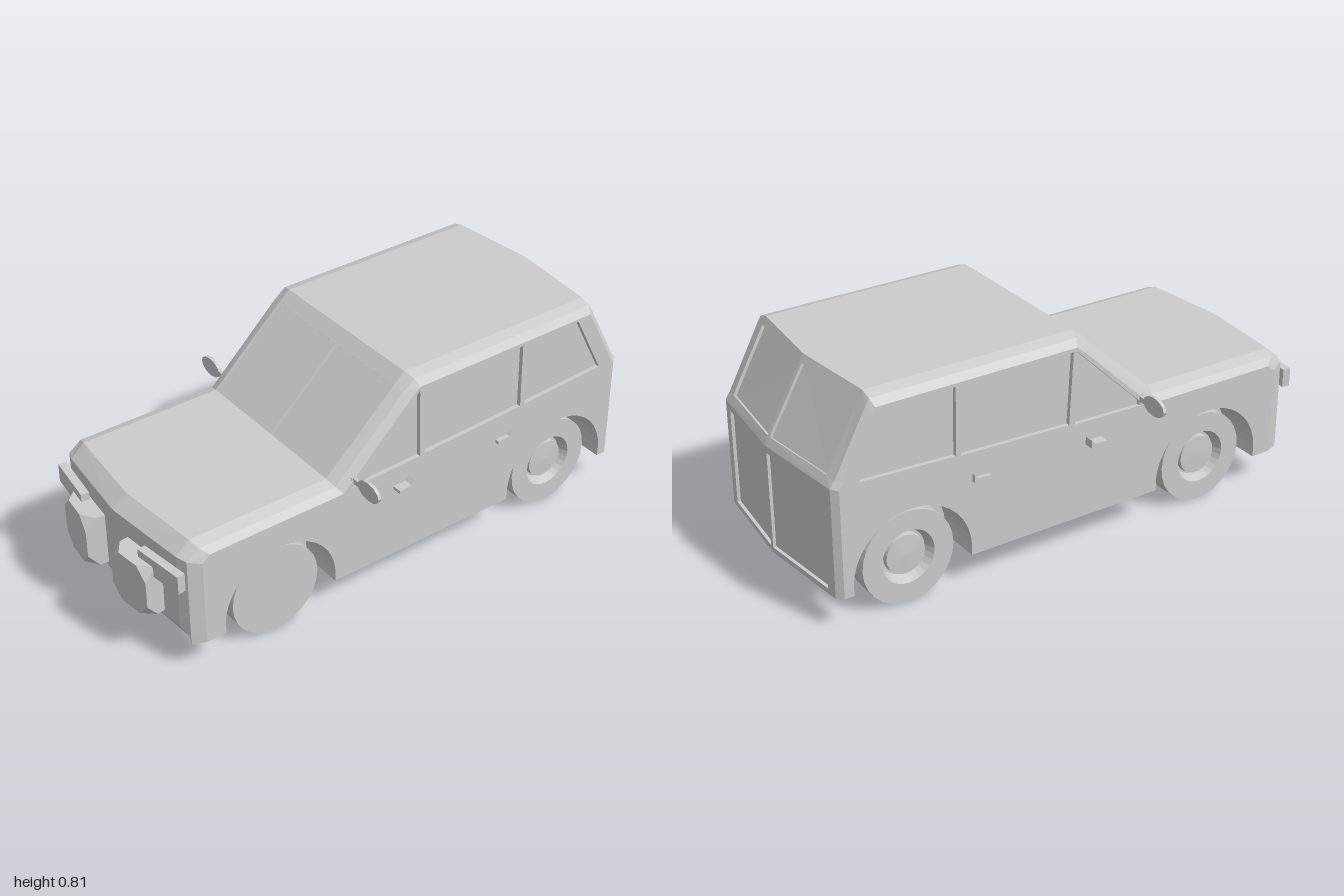
import * as THREE from 'three';
import { ConvexGeometry } from 'three/addons/geometries/ConvexGeometry.js';

const mat = new THREE.MeshStandardMaterial({ color: 0xcccccc, flatShading: true, side: THREE.DoubleSide });
const FLOOR = 0.12, WELL = 0.225, WELL_Y = 0.15, WELL_X = 0.22;
const AXLES = [0.54, -0.68];
const A0 = Math.asin((FLOOR - WELL_Y) / WELL), SPAN = Math.PI - 2 * A0;
const HALF = WELL * Math.cos(A0);

// Lengthwise outlines [z, y] at growing distance x from the centre line
const mid = [[0.89, 0.12], [0.935, 0.18], [0.935, 0.47], [0.88, 0.515], [0.31, 0.515], [0.03, 0.775],
  [-0.015, 0.813], [-0.84, 0.813], [-0.855, 0.785], [-0.985, 0.555], [-1.0, 0.525], [-1.0, 0.5], [-1.0, 0.14], [-1.0, 0.12]];
const inner = [[0.87, 0.12], [0.902, 0.18], [0.902, 0.47], [0.85, 0.515], [0.31, 0.515], [0.03, 0.775],
  [-0.015, 0.813], [-0.81, 0.813], [-0.825, 0.785], [-0.95, 0.555], [-0.967, 0.525], [-0.967, 0.5], [-0.967, 0.14], [-0.967, 0.12]];
const corner = [[0.885, 0.12], [0.887, 0.15], [0.887, 0.465], [0.84, 0.5], [0.3, 0.5], [0.02, 0.765],
  [-0.025, 0.8], [-0.81, 0.8], [-0.825, 0.775], [-0.945, 0.55], [-0.962, 0.525], [-0.962, 0.5], [-0.962, 0.14], [-0.962, 0.12]];
const flank = [[0.84, 0.12], [0.84, 0.15], [0.84, 0.45], [0.81, 0.475], [0.28, 0.475], [0, 0.745],
  [-0.035, 0.775], [-0.8, 0.775], [-0.815, 0.75], [-0.92, 0.55], [-0.94, 0.52], [-0.94, 0.5], [-0.94, 0.14], [-0.94, 0.12]];
const LAYERS = [[0, mid], [0.008, mid], [0.33, inner], [0.37, corner], [0.39, flank]];
const RECESSED = [4, 8, 11]; // windscreen, rear window, tailgate

const WINDOWS = {
  quarterWindow: [[0.25, 0.482], [-0.035, 0.76], [-0.042, 0.49]],
  doorWindow: [[-0.05, 0.762], [-0.488, 0.762], [-0.492, 0.51], [-0.065, 0.495]],
  rearSideWindow: [[-0.508, 0.763], [-0.745, 0.765], [-0.868, 0.53], [-0.512, 0.513]],
};

function add(parent, name, geo, x = 0, y = 0, z = 0) {
  const mesh = new THREE.Mesh(geo, mat);
  mesh.name = name;
  mesh.position.set(x, y, z);
  parent.add(mesh);
  return mesh;
}

// Plate drawn in the z-y plane and extruded outwards on side s
function plate(pts, s, depth, holes = []) {
  const flat = list => list.map(([z, y]) => new THREE.Vector2(-s * z, y));
  const shape = new THREE.Shape(flat(pts));
  shape.holes = holes.map(h => new THREE.Path(flat(h)));
  return new THREE.ExtrudeGeometry(shape, { depth, bevelEnabled: false }).rotateY(s * Math.PI / 2);
}

// Half of the shell: chamfered skin, recessed panels and floor
function shell(s) {
  const pos = [];
  const tri = (...v) => v.forEach(p => pos.push(p.x * s, p.y, p.z));
  const quad = (a, b, c, d) => {
    if (s > 0) { tri(a, b, c); tri(a, c, d); } else { tri(a, c, b); tri(a, d, c); }
  };
  const V = (x, [z, y]) => new THREE.Vector3(x, y, z);
  const recess = (q, depth) => {
    const n = q[1].clone().sub(q[0]).cross(q[3].clone().sub(q[0])).setLength(-depth);
    const r = q.map(p => p.clone().add(n));
    quad(...r);
    q.forEach((p, i) => quad(p, q[(i + 1) % 4], r[(i + 1) % 4], r[i]));
  };
  const floorQuad = (x0, x1, f0, f1, b0, b1) =>
    quad(V(x0, [b0, FLOOR]), V(x1, [b1, FLOOR]), V(x1, [f1, FLOOR]), V(x0, [f0, FLOOR]));

  const front = AXLES[0] + HALF, back = AXLES[1] - HALF, end = mid.length - 1;
  for (let i = 0; i < LAYERS.length - 1; i++) {
    const [x0, p] = LAYERS[i], [x1, q] = LAYERS[i + 1];
    for (let j = 0; j < end; j++) {
      const c = [V(x0, p[j]), V(x1, q[j]), V(x1, q[j + 1]), V(x0, p[j + 1])];
      if (i === 1 && RECESSED.includes(j)) recess(c, 0.012);
      else quad(...c);
    }
    floorQuad(x0, x1, p[0][0], q[0][0], front, front);
    floorQuad(x0, x1, back, back, p[end][0], q[end][0]);
  }
  floorQuad(0, WELL_X, front, front, back, back);
  const f = AXLES[0] - HALF, b = AXLES[1] + HALF;
  floorQuad(WELL_X, 0.39, f, f, b, b);

  const geo = new THREE.BufferGeometry();
  geo.setAttribute('position', new THREE.Float32BufferAttribute(pos, 3));
  geo.computeVertexNormals();
  return geo;
}

// Flat side with wheel openings and window holes
function sidePanel(s) {
  const pts = [...flank];
  for (const zc of [...AXLES].reverse()) {
    for (let i = 0; i <= 20; i++) {
      const a = Math.PI - A0 - SPAN * i / 20;
      pts.push([zc + WELL * Math.cos(a), WELL_Y + WELL * Math.sin(a)]);
    }
  }
  return plate(pts, s, 0.018, Object.values(WINDOWS));
}

// Tyre with dished rim and hub cap, facing the given direction in x
function wheelGeometry(dir) {
  const profile = [[0, -0.043], [0.173, -0.043], [0.173, 0.043], [0.1, 0.043], [0.083, 0.005],
    [0.075, 0.005], [0.073, 0.025], [0, 0.028]].map(p => new THREE.Vector2(...p));
  return new THREE.LatheGeometry(profile, 28).rotateZ(-dir * Math.PI / 2);
}

// Square lamp with its front corners cut away
function lampGeometry() {
  const pts = [];
  for (const x of [-1, 1]) for (const y of [-1, 1]) {
    for (const z of [-0.06, -0.015]) pts.push(new THREE.Vector3(x * 0.09, y * 0.1, z));
    pts.push(new THREE.Vector3(x * 0.09, y * 0.05, 0.025), new THREE.Vector3(x * 0.045, y * 0.1, 0.025));
  }
  return new ConvexGeometry(pts);
}

export function createModel() {
  const car = new THREE.Group();
  car.name = 'car';

  for (const s of [1, -1]) {
    const half = new THREE.Group();
    half.name = s > 0 ? 'leftHalf' : 'rightHalf';
    car.add(half);

    add(half, 'bodyShell', shell(s));
    add(half, 'sidePanel', sidePanel(s), s * 0.372);
    for (const [name, pts] of Object.entries(WINDOWS)) {
      add(half, name, plate(pts, s, 0.008), s * 0.366);
    }

    // Wheel wells and wheels; the left front wheel is turned inwards
    AXLES.forEach((z, i) => {
      const end = i ? 'rear' : 'front';
      const arch = new THREE.CylinderGeometry(WELL, WELL, 0.39 - WELL_X, 20, 1, true, A0, SPAN);
      add(half, end + 'WheelArch', arch.rotateZ(Math.PI / 2), s * (0.39 + WELL_X) / 2, WELL_Y, z);
      const wall = new THREE.CircleGeometry(WELL, 20, A0, SPAN).rotateY(s * Math.PI / 2);
      add(half, end + 'WellWall', wall, s * WELL_X, WELL_Y, z);
      const dir = s > 0 && i === 0 ? -1 : s;
      add(half, end + 'Wheel', wheelGeometry(dir), s * 0.313, 0.173, z);
    });

    // Door handles
    const handle = z => [[z, 0.43], [z + 0.015, 0.415], [z + 0.065, 0.412], [z + 0.065, 0.4], [z, 0.4]];
    add(half, 'frontHandle', plate(handle(0.005), s, 0.037), s * 0.389);
    add(half, 'rearHandle', plate(handle(-0.45), s, 0.017), s * 0.389);

    // Wing mirror on a short stalk
    const mirror = new THREE.CylinderGeometry(1, 1, 0.012, 12).rotateX(Math.PI / 2).scale(0.057, 0.035, 1);
    add(half, 'mirror', mirror, s * 0.469, 0.512, 0.235);
    add(half, 'mirrorStalk', new THREE.BoxGeometry(0.055, 0.02, 0.012), s * 0.395, 0.51, 0.235);
    add(half, 'mirrorFoot', new THREE.BoxGeometry(0.022, 0.06, 0.015), s * 0.377, 0.495, 0.24);

    // Lamps follow the slightly pointed nose
    add(half, 'headlamp', lampGeometry(), s * 0.168, 0.3, 0.965).rotation.y = s * 0.12;
    add(half, 'turnSignal', new THREE.BoxGeometry(0.2, 0.07, 0.03), s * 0.278, 0.395, 0.927).rotation.y = s * 0.13;
  }
  return car;
}
